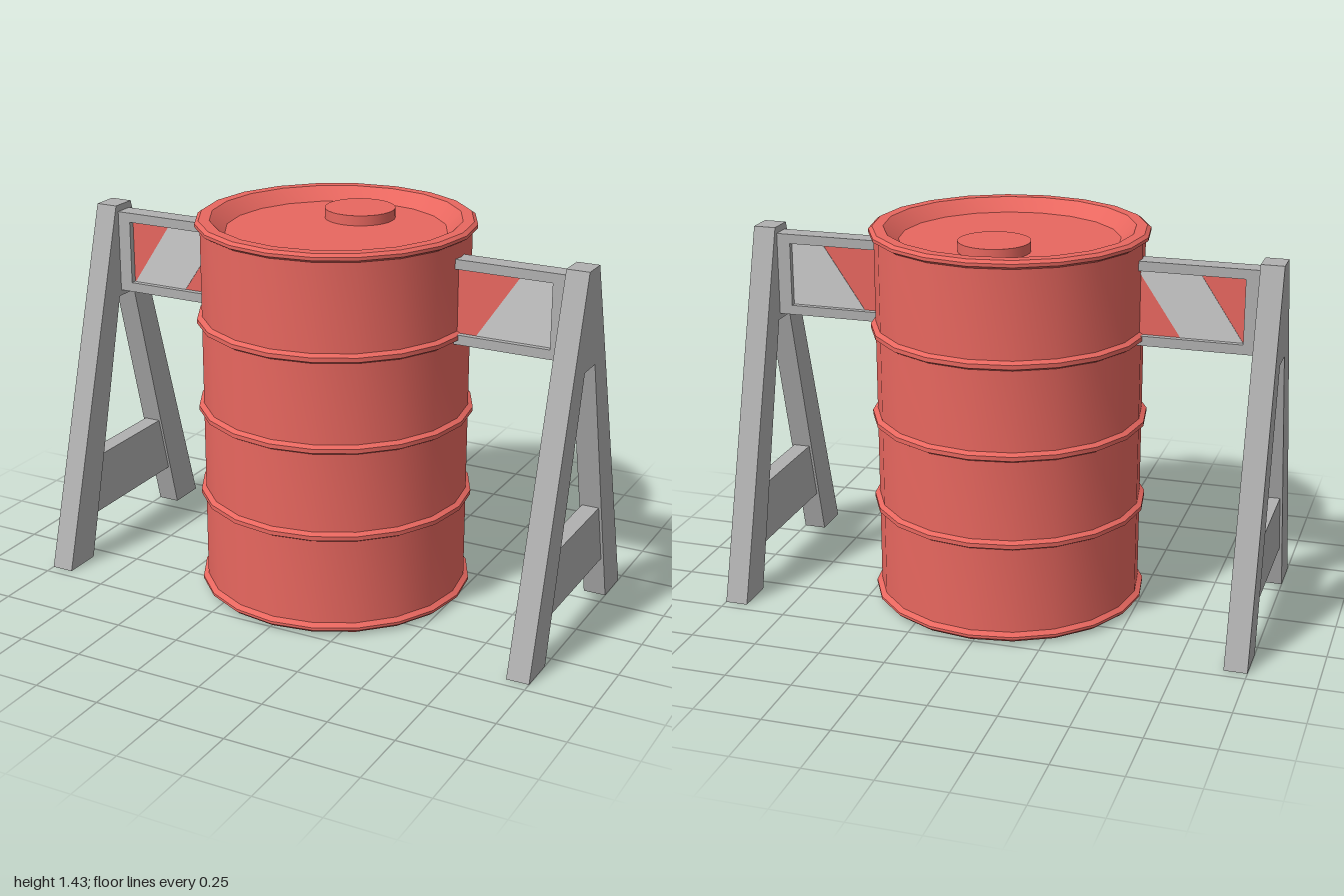
import * as THREE from 'three';
import { toCreasedNormals } from 'three/addons/utils/BufferGeometryUtils.js';

const paint = (color, extra = {}) => new THREE.MeshStandardMaterial({ color, ...extra });

export function createModel() {
  const model = new THREE.Group();
  const red = paint(0xe8675f);
  const grey = paint(0xb0b0b0, { flatShading: true });
  const white = paint(0xcccccc);
  const orange = paint(0xd2581a);

  const add = (parent, name, geometry, material, x = 0, y = 0, z = 0) => {
    const mesh = new THREE.Mesh(geometry, material);
    mesh.name = name;
    mesh.position.set(x, y, z);
    parent.add(mesh);
    return mesh;
  };
  // Flat outline extruded symmetrically about z = 0
  const slab = (points, depth) => {
    const shape = new THREE.Shape(points.map(([x, y]) => new THREE.Vector2(x, y)));
    return new THREE.ExtrudeGeometry(shape, { depth, bevelEnabled: false }).translate(0, 0, -depth / 2);
  };

  // Barrel: one lathed shell with rims, ribs, recessed lid and base
  const barrel = new THREE.Group();
  barrel.name = 'barrel';
  barrel.position.x = 0.01;
  model.add(barrel);
  const R = 0.495;
  const rib = (y) => [[R, y - 0.018], [0.513, y - 0.008], [0.513, y + 0.008], [R, y + 0.018]];
  const profile = [
    [0, 0.02], [0.465, 0.02], [0.48, 0.008], [0.5, 0.008], [0.514, 0.02], [0.514, 0.03], [R, 0.042],
    ...rib(0.385), ...rib(0.72), ...rib(1.057),
    [R, 1.4], [0.514, 1.411], [0.514, 1.423], [0.5, 1.433], [0.46, 1.433], [0.445, 1.42], [0.405, 1.385], [0, 1.385],
  ].map(([r, y]) => new THREE.Vector2(r, y));
  add(barrel, 'barrelShell', toCreasedNormals(new THREE.LatheGeometry(profile, 20), 0.5), red);
  add(barrel, 'lidCap', new THREE.CylinderGeometry(0.131, 0.131, 0.045, 32), red, 0, 1.4, -0.19);
  add(barrel, 'baseDisc', new THREE.CylinderGeometry(0.315, 0.315, 0.01, 32), orange, 0, 0.02, 0);

  // A-frame stands, one at each end
  const legs = [[-0.46, 0], [-0.31, 0], [-0.05, 1.01], [0.05, 1.01], [0.31, 0], [0.46, 0], [0.05, 1.37], [-0.05, 1.37]];
  const brace = [[-0.285, 0.17], [0.285, 0.17], [0.22, 0.4], [-0.22, 0.4]];
  for (const side of [-1, 1]) {
    const stand = new THREE.Group();
    stand.name = side > 0 ? 'leftStand' : 'rightStand';
    stand.position.x = side * 0.9575;
    stand.rotation.y = Math.PI / 2;
    model.add(stand);
    add(stand, 'legs', slab(legs, 0.085), grey);
    add(stand, 'crossBrace', slab(brace, 0.065), grey);
  }

  // Board between the stands: rails, end posts and striped panel
  const board = new THREE.Group();
  board.name = 'board';
  model.add(board);
  const rail = new THREE.BoxGeometry(1.84, 0.036, 0.074);
  add(board, 'lowerRail', rail, grey, 0, 1.05, 0);
  add(board, 'upperRail', rail, grey, 0, 1.327, 0);
  for (const side of [-1, 1]) {
    add(board, 'endPost', new THREE.BoxGeometry(0.054, 0.25, 0.074), grey, side * 0.891, 1.188, 0);
  }
  add(board, 'panel', new THREE.BoxGeometry(1.74, 0.25, 0.028), red, 0, 1.188, 0);
  const stripes = [
    [[-0.862, 1.065], [-0.635, 1.065], [-0.47, 1.31], [-0.7, 1.31]],
    [[0.575, 1.065], [0.866, 1.065], [0.866, 1.31], [0.74, 1.31]],
  ];
  for (const s of stripes) add(board, 'stripe', slab(s, 0.032), white);

  return model;
}
